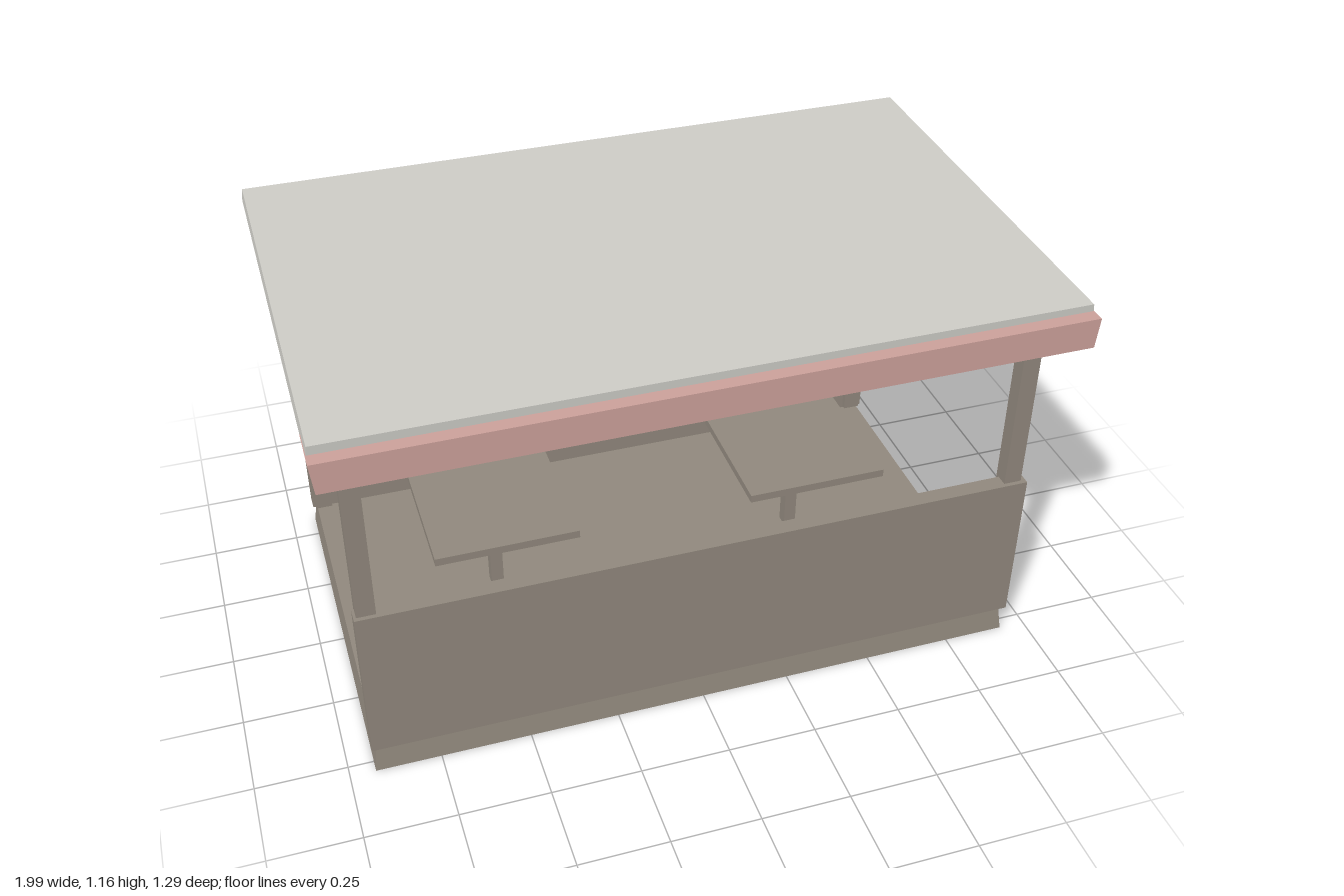
import * as THREE from 'three';

const paint = (name, color) => {
  const m = new THREE.MeshStandardMaterial({ color });
  m.name = name;
  return m;
};

export function createModel() {
  const group = new THREE.Group();
  const wood = paint('weathered wood', 0x91887d);
  wood.side = THREE.DoubleSide;
  const roofGrey = paint('roof grey', 0xcdccc6);
  const pink = paint('dusty pink', 0xcba09a);

  // Box given by its limits; inset narrows the top (x, z), negative values widen it
  function box(name, material, [x0, x1], [y0, y1], [z0, z1], inset = [0, 0], parent = group) {
    const geometry = new THREE.BoxGeometry(x1 - x0, y1 - y0, z1 - z0);
    const p = geometry.attributes.position;
    for (let i = 0; i < p.count; i++) {
      if (p.getY(i) > 0) {
        p.setX(i, p.getX(i) - Math.sign(p.getX(i)) * inset[0]);
        p.setZ(i, p.getZ(i) - Math.sign(p.getZ(i)) * inset[1]);
      }
    }
    geometry.computeVertexNormals();
    const mesh = new THREE.Mesh(geometry, material);
    mesh.name = name;
    mesh.position.set((x0 + x1) / 2, (y0 + y1) / 2, (z0 + z1) / 2);
    parent.add(mesh);
    return mesh;
  }

  // Flared plinth, hollow underneath: drop the bottom face
  const base = box('base', wood, [-0.93, 0.925], [0, 0.08], [-0.575, 0.535], [0.01, 0.012]);
  const faces = Array.from(base.geometry.index.array);
  faces.splice(18, 6);
  base.geometry.setIndex(faces);
  base.geometry.clearGroups();

  // Long side walls, the front one taller
  box('frontWall', wood, [-0.933, 0.932], [0.08, 0.547], [0.492, 0.538]);
  box('backWall', wood, [-0.933, 0.932], [0.08, 0.5], [-0.58, -0.535]);

  // Corner posts
  for (const [x0, x1] of [[-0.926, -0.875], [0.868, 0.918]]) {
    box('frontPost', wood, [x0, x1], [0.086, 1.102], [0.48, 0.526]);
    box('backPost', wood, [x0, x1], [0.086, 1.102], [-0.565, -0.518]);
  }

  // Two square tables on single legs
  for (const x of [-0.462, 0.464]) {
    const table = new THREE.Group();
    table.name = 'table';
    group.add(table);
    box('tableTop', wood, [x - 0.207, x + 0.207], [0.368, 0.392], [-0.23, 0.188], [0, 0], table);
    box('tableLeg', wood, [x - 0.018, x + 0.018], [0.09, 0.368], [-0.038, 0], [0, 0], table);
  }

  // Gently sloped roof with a soffit sheet along the front
  const roof = new THREE.Group();
  roof.name = 'roof';
  roof.position.set(0.002, 1.14, -0.02);
  roof.rotation.x = 0.005;
  group.add(roof);
  box('roofSlab', roofGrey, [-0.995, 0.995], [-0.0175, 0.0175], [-0.624, 0.625], [0.004, 0], roof);
  box('soffit', wood, [-0.985, 0.985], [-0.0195, -0.017], [0.31, 0.62], [0, 0], roof);

  // Fascia beam under the front edge
  const fascia = box('fascia', pink, [-0.985, 0.988], [1.048, 1.132], [0.518, 0.645], [-0.009, 0.002]);
  fascia.rotation.z = 0.002;

  return group;
}
